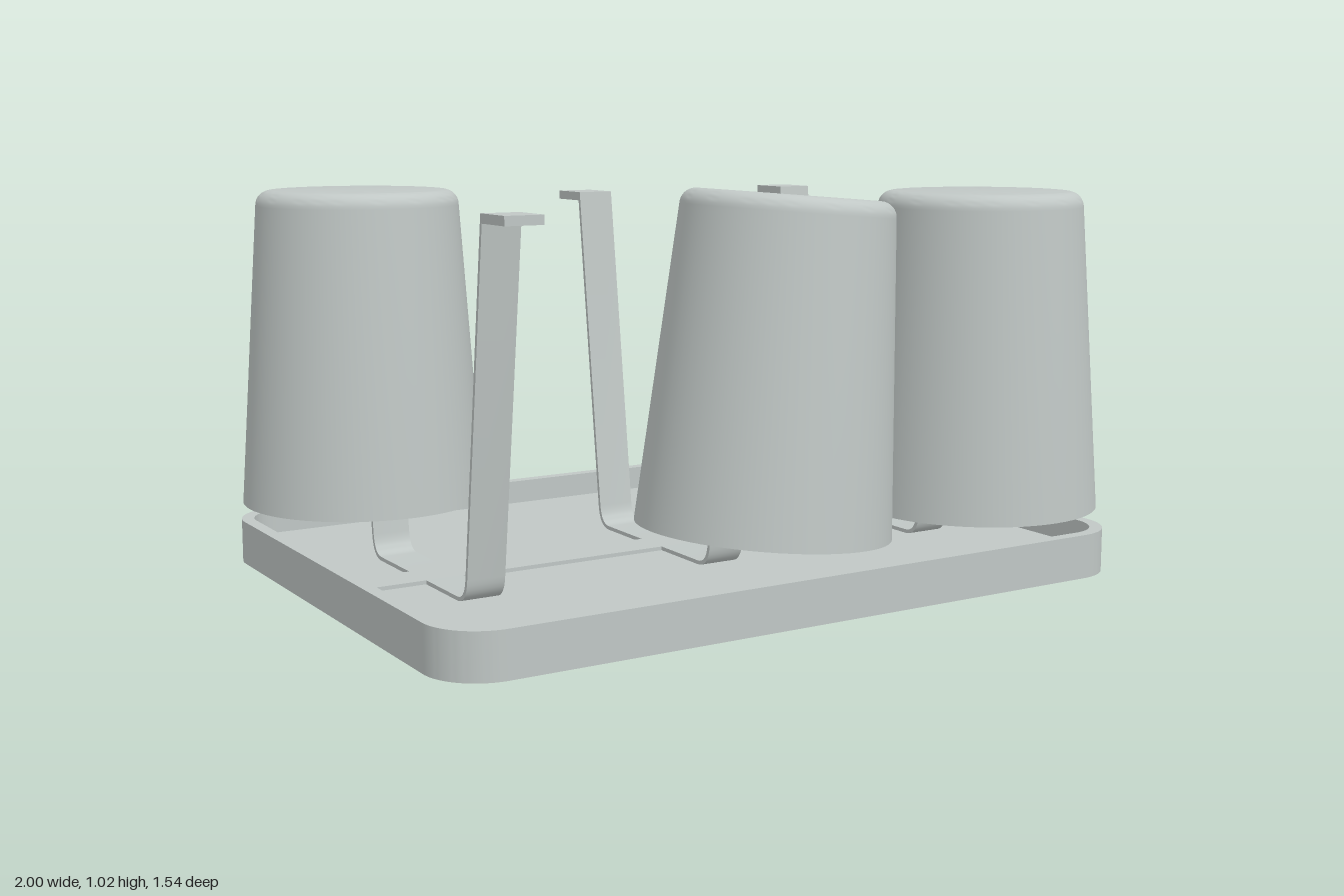
import * as THREE from 'three';
import { toCreasedNormals } from 'three/addons/utils/BufferGeometryUtils.js';

const grey = new THREE.MeshStandardMaterial({ color: 0xc0c7c5 });
grey.name = 'pale grey';

const FLOOR = 0.05, STRIP = 0.01;
const COLUMNS = [-0.68, 0, 0.68];

function part(name, geometry, parent) {
  const mesh = new THREE.Mesh(toCreasedNormals(geometry, 0.5), grey);
  mesh.name = name;
  parent.add(mesh);
  return mesh;
}

// Rounded rectangle traced onto a shape or a path
function roundedRect(path, w, h, r) {
  path.moveTo(w - r, -h);
  path.absarc(w - r, -h + r, r, -Math.PI / 2, 0);
  path.absarc(w - r, h - r, r, 0, Math.PI / 2);
  path.absarc(-w + r, h - r, r, Math.PI / 2, Math.PI);
  path.absarc(-w + r, -h + r, r, Math.PI, Math.PI * 1.5);
  path.closePath();
  return path;
}

function slab(shape, depth, y) {
  return new THREE.ExtrudeGeometry(shape, { depth, bevelEnabled: false, curveSegments: 12 })
    .rotateX(-Math.PI / 2).translate(0, y, 0);
}

// Bent strip: flat foot, rounded bend, leaning leg and a flat cap
function prongGeometry() {
  const y0 = FLOOR, y1 = FLOOR + STRIP, width = 0.1;
  const s = new THREE.Shape();
  s.moveTo(0.05, y0);
  s.lineTo(0.23, y0);
  s.quadraticCurveTo(0.28, y0, 0.287, y0 + 0.06);
  s.lineTo(0.392, 0.957);
  s.lineTo(0.505, 0.957);
  s.lineTo(0.505, 0.98);
  s.lineTo(0.385, 0.98);
  s.lineTo(0.277, y0 + 0.06);
  s.quadraticCurveTo(0.27, y1, 0.23, y1);
  s.lineTo(0.05, y1);
  s.closePath();
  return new THREE.ExtrudeGeometry(s, { depth: width, bevelEnabled: false, curveSegments: 8 })
    .translate(0, 0, -width / 2).rotateY(-Math.PI / 2);
}

// Hollow upturned cup, open at the bottom, origin at the centre of its mouth
function cupGeometry() {
  const height = 0.825, r = 0.04, pts = [];
  const add = (x, y) => pts.push(new THREE.Vector2(x, y));
  add(0, height - 0.015);
  add(0.235, height - 0.015);
  add(0.248, height - 0.03);
  add(0.305, 0);
  add(0.32, 0);
  for (let i = 0; i <= 8; i++) {
    const a = (i / 8) * Math.PI / 2;
    add(0.225 + r * Math.cos(a), height - r + r * Math.sin(a));
  }
  add(0, height);
  return new THREE.LatheGeometry(pts, 64);
}

export function createModel() {
  const model = new THREE.Group();
  model.name = 'cupRack';

  // Tray: floor and raised rim
  const tray = new THREE.Group();
  tray.name = 'tray';
  model.add(tray);
  part('trayFloor', slab(roundedRect(new THREE.Shape(), 0.96, 0.7, 0.13), FLOOR, 0), tray);
  const rim = roundedRect(new THREE.Shape(), 0.975, 0.715, 0.14);
  rim.holes.push(roundedRect(new THREE.Path(), 0.942, 0.682, 0.107));
  part('trayRim', slab(rim, 0.115, 0), tray);

  // Long strip joining the prongs
  part('centreStrip', new THREE.BoxGeometry(1.885, STRIP, 0.104)
    .translate(0, FLOOR + STRIP / 2, 0), model);

  // Three prongs on each side
  const prong = prongGeometry();
  for (const x of COLUMNS) {
    part('frontProng', prong, model).position.x = x;
    const back = part('backProng', prong, model);
    back.position.x = x;
    back.rotation.y = Math.PI;
  }

  // Cups: two upright, one tipped to its left
  const cup = cupGeometry();
  const cups = [
    ['backRightCup', -0.68, 0.175, -0.455, 0],
    ['frontMiddleCup', 0, 0.183, 0.45, -0.086],
    ['frontLeftCup', 0.68, 0.175, 0.45, 0],
  ];
  for (const [name, x, y, z, tilt] of cups) {
    const mesh = part(name, cup, model);
    mesh.position.set(x, y, z);
    mesh.rotation.z = tilt;
  }
  return model;
}
